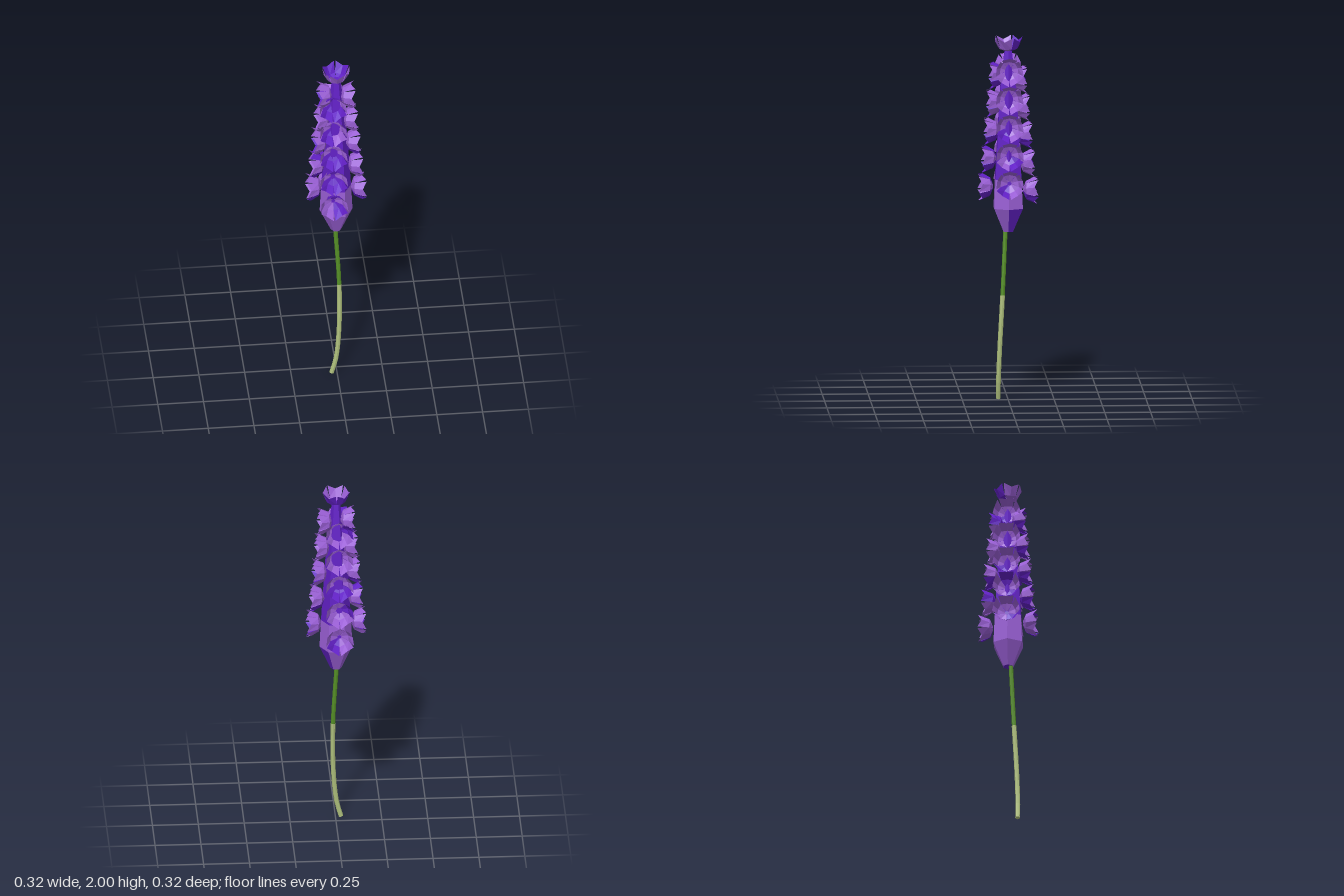
import * as THREE from 'three';

const mat = (name, color) => {
  const m = new THREE.MeshStandardMaterial({ color, flatShading: true, side: THREE.DoubleSide });
  m.name = name;
  return m;
};

// One creased petal with a notched end: local +y is outward, +z is the flower axis.
function petalGeometry() {
  // half width, edge radius, edge height, crease radius, crease height
  const rows = [
    [0.006, 0.010, 0.000, 0.011, 0.000],
    [0.031, 0.043, 0.018, 0.049, 0.014],
    [0.042, 0.066, 0.080, 0.073, 0.058],
  ];
  const pos = [], index = [];
  rows.forEach(([w, r, h, cr, ch]) => pos.push(-w, r, h, 0, cr, ch, w, r, h));
  for (let j = 0; j < rows.length - 1; j++) {
    for (let i = 0; i < 2; i++) {
      const a = j * 3 + i, b = a + 1, c = a + 3, d = a + 4;
      index.push(a, b, d, a, d, c);
    }
  }
  const g = new THREE.BufferGeometry();
  g.setAttribute('position', new THREE.Float32BufferAttribute(pos, 3));
  g.setIndex(index);
  g.computeVertexNormals();
  return g;
}

export function createModel() {
  const model = new THREE.Group();
  const lavender = mat('lavender', 0x9a5fd6);
  const violet = mat('violet', 0x6220c6);
  const green = mat('leafGreen', 0x558f26);
  const pale = mat('paleGreen', 0xaebf7c);

  const add = (name, geometry, material, parent = model) => {
    const mesh = new THREE.Mesh(geometry, material);
    mesh.name = name;
    parent.add(mesh);
    return mesh;
  };

  // Curved stem in two shades
  const V = (x, y, z) => new THREE.Vector3(x, y, z);
  const stem = new THREE.CatmullRomCurve3([
    V(-0.03, 0.008, 0.053), V(-0.006, 0.1, 0.053), V(0.012, 0.3, 0.046),
    V(0.014, 0.58, 0.031), V(-0.006, 0.95, 0.014),
  ]);
  const stemPart = (name, t0, t1, radius, material) => {
    const pts = [];
    for (let i = 0; i <= 8; i++) pts.push(stem.getPoint(t0 + (t1 - t0) * i / 8));
    add(name, new THREE.TubeGeometry(new THREE.CatmullRomCurve3(pts), 12, radius, 8), material);
  };
  stemPart('lowerStem', 0, 0.75, 0.013, pale);
  stemPart('upperStem', 0.75, 1, 0.012, green);
  const end = add('stemEnd', new THREE.CircleGeometry(0.013, 8), pale);
  end.position.copy(stem.getPoint(0));
  end.lookAt(end.position.clone().sub(stem.getTangent(0)));

  // Six-sided core, widening from the stem and tapering to the tip
  const hex = (name, y0, y1, r0, r1, material) => {
    const m = add(name, new THREE.CylinderGeometry(r1, r0, y1 - y0, 6, 1, false, Math.PI / 2), material);
    m.position.y = (y0 + y1) / 2;
    return m;
  };
  const cup = hex('coreCup', 0.93, 1.06, 0.03, 0.09, [lavender, violet]);
  cup.geometry.clearGroups();
  cup.geometry.addGroup(0, 6, 1);
  cup.geometry.addGroup(6, 30, 0);
  cup.geometry.addGroup(36, 36, 1);
  hex('coreBase', 1.06, 1.22, 0.09, 0.082, lavender);
  hex('coreMiddle', 1.22, 1.72, 0.082, 0.05, violet);
  hex('coreTip', 1.72, 1.93, 0.05, 0.022, violet);

  // Flowers of five petals; the listed petals are violet
  const petal = petalGeometry();
  const flower = (name, dark) => {
    const f = new THREE.Group();
    f.name = name;
    for (let i = 0; i < 5; i++) {
      const p = add('petal', petal, dark.includes(i) ? violet : lavender, f);
      p.rotation.z = i * Math.PI * 2 / 5;
    }
    const heart = add('flowerHeart', new THREE.CircleGeometry(0.012, 5), violet, f);
    heart.position.z = 0.001;
    model.add(f);
    return f;
  };

  // Four columns of five flowers: facing angle, sideways shift, first height, violet petals by row
  const columns = [
    ['front', 0, -0.024, 1.175, [[0, 3], [0, 2, 3], [2, 3], [2], [0, 2, 3]]],
    ['left', Math.PI / 2, 0.003, 1.205, [[2], [3], [2], [], []]],
    ['back', Math.PI, 0.014, 1.155, [[2], [4], [2, 3], [], [4]]],
    ['right', -Math.PI / 2, -0.003, 1.215, [[3], [0, 3], [2], [], [2]]],
  ];
  const reach = [0.082, 0.064, 0.05, 0.036, 0.022];
  for (const [side, angle, shift, y0, darks] of columns) {
    reach.forEach((d, row) => {
      const f = flower(side + 'Flower', darks[row]);
      f.rotation.y = angle;
      f.position.set(
        Math.sin(angle) * d + Math.cos(angle) * shift,
        y0 + row * 0.153,
        Math.cos(angle) * d - Math.sin(angle) * shift);
    });
  }

  // Crown flower opening upward
  const crown = flower('crownFlower', [2, 3]);
  crown.rotation.set(-Math.PI / 2, 0, Math.PI);
  crown.position.y = 1.92;

  return model;
}
